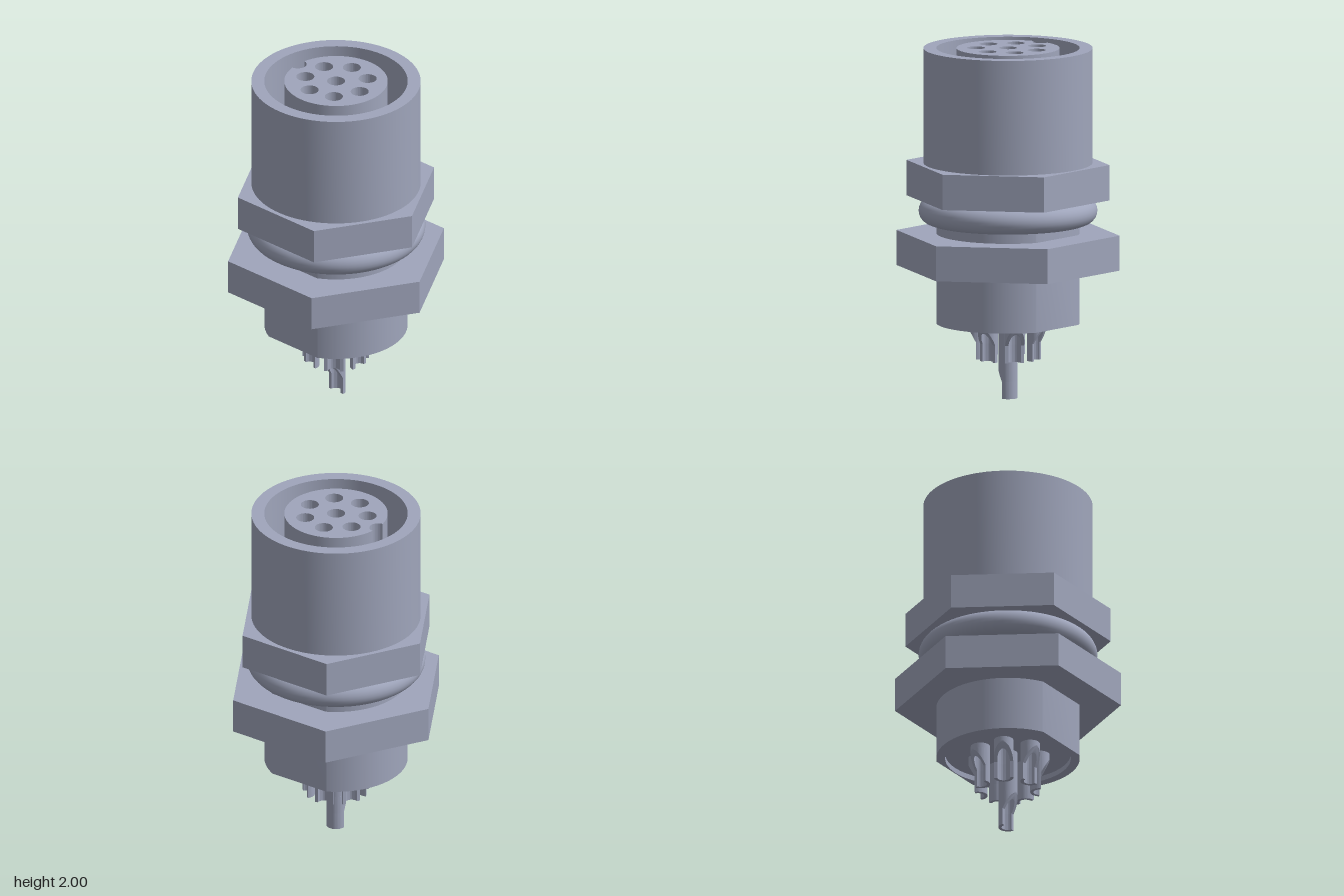
import * as THREE from 'three';
import { toCreasedNormals } from 'three/addons/utils/BufferGeometryUtils.js';

const metal = new THREE.MeshStandardMaterial({ color: 0x9fa5bb });
metal.name = 'blue grey metal';

const PIN_R = 0.055, BORE_R = 0.036, RING_R = 0.181;

function add(parent, name, geometry) {
  const mesh = new THREE.Mesh(geometry, metal);
  mesh.name = name;
  parent.add(mesh);
  return mesh;
}

// Vertical prism from a plan shape (shape y points to -z)
function prism(shape, y0, y1, segments = 48) {
  const g = new THREE.ExtrudeGeometry(shape, { depth: y1 - y0, bevelEnabled: false, curveSegments: segments });
  g.rotateX(-Math.PI / 2);
  g.translate(0, y0, 0);
  return g;
}

const smooth = (g) => toCreasedNormals(g, 0.6);

function circle(r, x = 0, y = 0) {
  return new THREE.Shape().absarc(x, y, r, 0, Math.PI * 2, false);
}

function ringShape(outer, inner) {
  const s = circle(outer);
  s.holes.push(circle(inner));
  return s;
}

// Hexagon with corners on +x and -x
function hexShape(r) {
  const pts = [];
  for (let i = 0; i < 6; i++) {
    const a = (i * Math.PI) / 3;
    pts.push(new THREE.Vector2(r * Math.cos(a), r * Math.sin(a)));
  }
  return new THREE.Shape(pts);
}

// Round shank with two flats facing front and back, hollow inside
function shankShape(r, flat, inner) {
  const a = Math.asin(flat / r);
  const s = new THREE.Shape();
  s.absarc(0, 0, r, -a, a, false);
  s.absarc(0, 0, r, Math.PI - a, Math.PI + a, false);
  s.closePath();
  s.holes.push(circle(inner));
  return s;
}

// Disc with a round key notch on the -x side
function keyedShape(r, notch) {
  const b = 2 * Math.asin(notch / 2 / r);
  const c = Math.PI / 2 - b / 2;
  const s = new THREE.Shape();
  s.absarc(0, 0, r, -(Math.PI - b), Math.PI - b, false);
  s.absarc(-r, 0, notch, c, -c, true);
  return s;
}

// Contact with an open solder cup facing +z; its lower end is at y = 0
function contact(name, length) {
  const pin = new THREE.Group();
  pin.name = name;
  const half = new THREE.Shape();
  half.absarc(0, 0, PIN_R, 0, Math.PI, false);
  half.absarc(0, 0, BORE_R, Math.PI, 0, true);
  half.closePath();
  add(pin, 'solderCup', smooth(prism(half, 0, 0.1, 16)));

  // Full tube whose lower edge slopes up towards the open side
  const neck = prism(ringShape(PIN_R, BORE_R), 0.1, 0.205, 32);
  const p = neck.attributes.position;
  for (let i = 0; i < p.count; i++) {
    if (p.getY(i) < 0.15) p.setY(i, 0.1 + (Math.max(0, p.getZ(i)) / PIN_R) * 0.1);
  }
  add(pin, 'cupNeck', smooth(neck));

  const stem = new THREE.CylinderGeometry(PIN_R, PIN_R, length - 0.205, 32);
  add(pin, 'stem', stem).position.y = (length + 0.205) / 2;
  return pin;
}

export function createModel() {
  const model = new THREE.Group();
  model.name = 'panelConnector';

  // Socket sleeve and the floor of its bore
  add(model, 'sleeve', smooth(prism(ringShape(0.478, 0.405), 1.345, 2)));
  add(model, 'boreFloor', new THREE.CylinderGeometry(0.41, 0.41, 0.16, 64)).position.y = 1.42;

  // Hexagonal collar and loose nut
  add(model, 'collar', prism(hexShape(0.581), 1.143, 1.345));
  add(model, 'nut', prism(hexShape(0.639), 0.743, 0.943));

  // Sealing ring
  const seal = new THREE.TorusGeometry(0.434, 0.071, 24, 72);
  seal.rotateX(Math.PI / 2);
  add(model, 'sealRing', seal).position.y = 1.072;

  // Shank with flats and the recessed lower insert
  add(model, 'shank', smooth(prism(shankShape(0.405, 0.361, 0.355), 0.43, 1.15)));
  add(model, 'lowerInsert', new THREE.CylinderGeometry(0.356, 0.356, 0.6, 64)).position.y = 0.76;

  // Keyed socket insert, pierced near the top
  const spots = [[0, 0]];
  for (let i = 0; i < 7; i++) {
    const a = (i * Math.PI * 2) / 7;
    spots.push([RING_R * Math.cos(a), RING_R * Math.sin(a)]);
  }
  const face = keyedShape(0.292, 0.05);
  face.holes = spots.map(([x, y]) => circle(0.051, x, y));
  add(model, 'socketInsert', smooth(prism(face, 1.7, 2)));
  add(model, 'socketBase', smooth(prism(keyedShape(0.292, 0.05), 1.48, 1.7)));

  // Long centre contact and seven shorter ones opening outwards
  model.add(contact('centreContact', 0.5));
  for (let i = 0; i < 7; i++) {
    const a = (i * Math.PI * 2) / 7;
    const pin = contact('ringContact' + (i + 1), 0.275);
    pin.position.set(RING_R * Math.cos(a), 0.226, RING_R * Math.sin(a));
    pin.rotation.y = Math.PI / 2 - a;
    model.add(pin);
  }
  return model;
}
